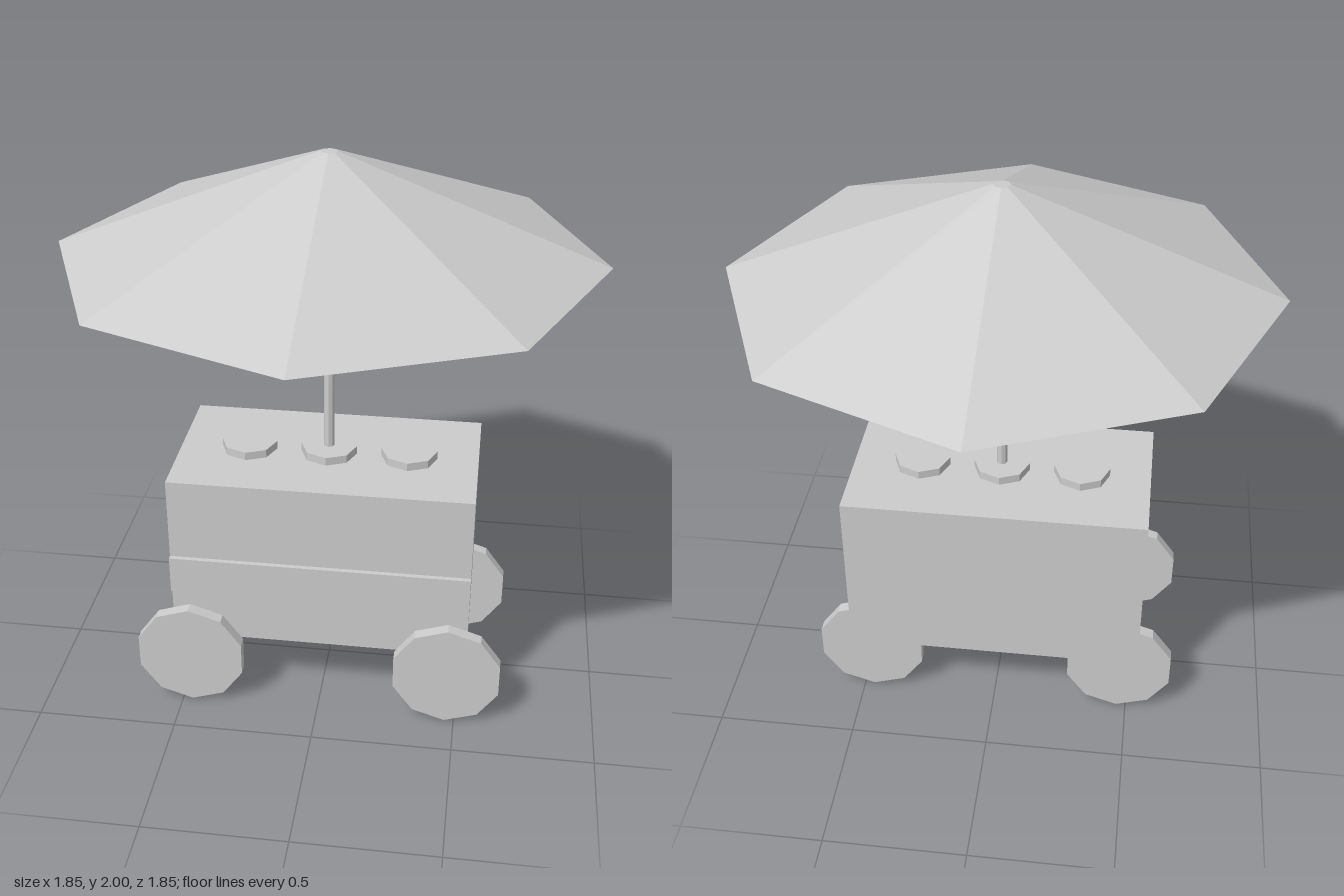
import * as THREE from 'three';

export function createModel() {
  const group = new THREE.Group();
  group.name = 'foodCart';
  const grey = new THREE.MeshStandardMaterial({ color: 0xcccccc, flatShading: true });
  grey.name = 'light grey';

  const add = (name, geometry, x, y, z) => {
    const mesh = new THREE.Mesh(geometry, grey);
    mesh.name = name;
    mesh.position.set(x, y, z);
    group.add(mesh);
    return mesh;
  };

  // Cart box and the raised band along its front
  add('cartBody', new THREE.BoxGeometry(1.066, 0.64, 0.57), 0, 0.575, 0);
  add('frontBand', new THREE.BoxGeometry(1.066, 0.14, 0.03), 0, 0.52, 0.287);

  // Ten-sided wheels; the rear pair sits partly inside the box
  const wheel = new THREE.CylinderGeometry(0.199, 0.199, 0.043, 10).rotateX(Math.PI / 2);
  for (const [end, z] of [['front', 0.325], ['rear', -0.232]]) {
    for (const [side, x] of [['Left', 0.465], ['Right', -0.465]]) {
      add(end + side + 'Wheel', wheel, x, 0.2, z);
    }
  }

  // Round lids on the counter
  const lid = new THREE.CylinderGeometry(0.1, 0.1, 0.05, 8);
  [-0.287, 0, 0.287].forEach((x, i) => add('lid' + (i + 1), lid, x, 0.9, 0));

  // Parasol
  add('pole', new THREE.CylinderGeometry(0.019, 0.019, 0.85, 8), 0, 1.275, 0);
  add('canopy', new THREE.CylinderGeometry(0.028, 0.925, 0.352, 8), 0, 1.824, 0);

  return group;
}
